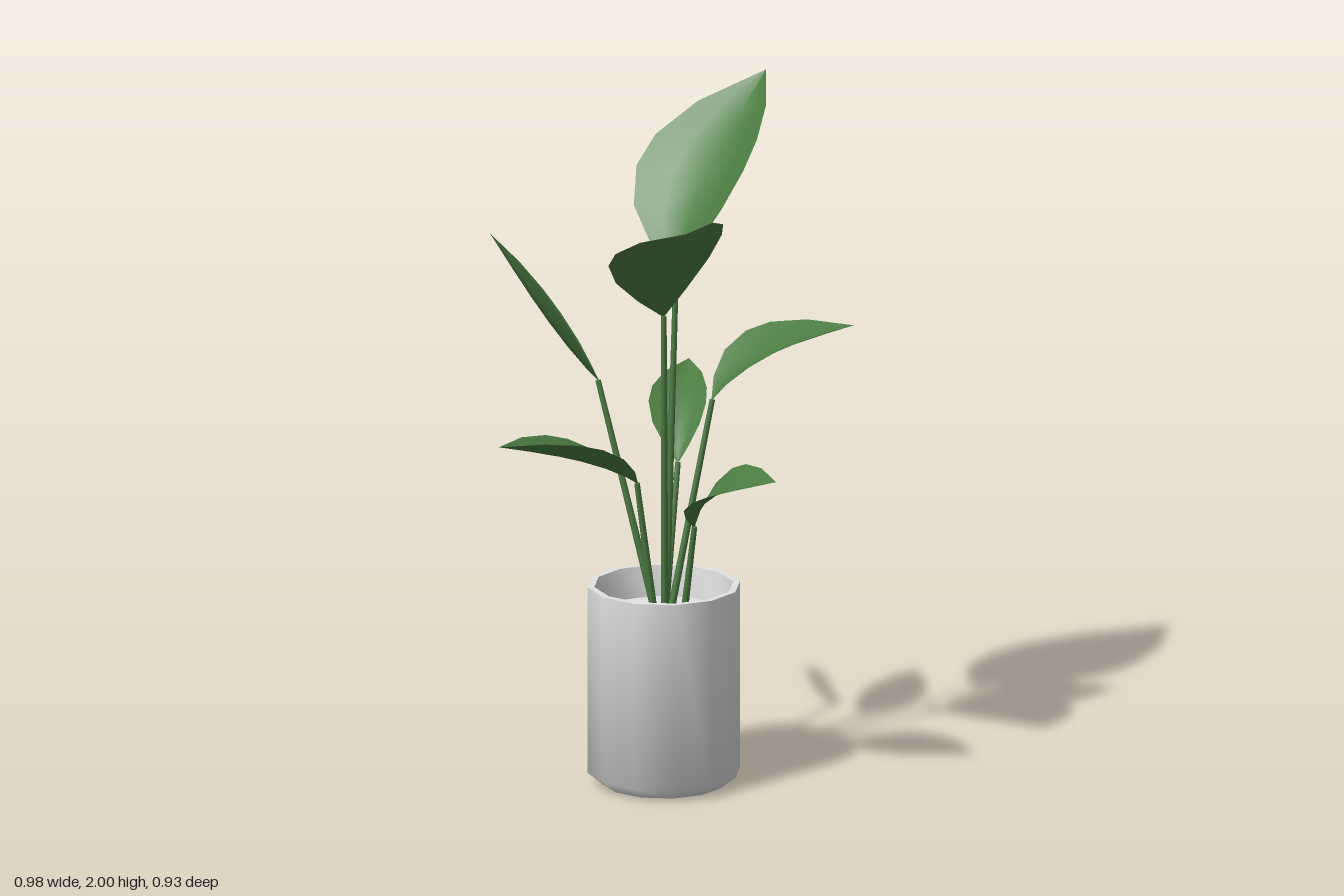
import * as THREE from 'three';
import { toCreasedNormals } from 'three/addons/utils/BufferGeometryUtils.js';

const V = (a) => new THREE.Vector3(...a);

// Leaf blade: cross-sections along an arched midrib, edges cupped upwards
function leafGeometry(base, tip, side, cup, bow) {
  const B = V(base), T = V(tip), S = V(side);
  const along = T.clone().sub(B);
  const N = new THREE.Vector3().crossVectors(S, along).normalize();
  if (N.y < 0) { N.negate(); S.negate(); }
  const sections = [[0, 0.04], [0.09, 0.42], [0.24, 0.82], [0.42, 1], [0.58, 0.95], [0.78, 0.64], [1, 0]];
  const across = [-1, -0.5, 0, 0.5, 1];
  const pos = [], index = [];
  for (const [t, w] of sections) {
    for (const u of across) {
      const lift = bow * Math.sin(Math.PI * Math.pow(t, 0.75)) + cup * w * Math.pow(Math.abs(u), 1.4);
      const p = B.clone().addScaledVector(along, t).addScaledVector(S, u * w).addScaledVector(N, lift);
      pos.push(p.x, p.y, p.z);
    }
  }
  const n = across.length;
  for (let i = 0; i < sections.length - 1; i++) {
    for (let j = 0; j < n - 1; j++) {
      const a = i * n + j, b = a + 1, c = a + n, d = c + 1;
      index.push(a, b, d, a, d, c);
    }
  }
  const g = new THREE.BufferGeometry();
  g.setAttribute('position', new THREE.Float32BufferAttribute(pos, 3));
  g.setIndex(index);
  g.computeVertexNormals();
  return g;
}

// Straight thin stalk between two points
function stemGeometry(from, to) {
  const a = V(from), b = V(to), dir = b.clone().sub(a);
  const g = new THREE.CylinderGeometry(0.008, 0.011, dir.length(), 6);
  g.applyQuaternion(new THREE.Quaternion().setFromUnitVectors(new THREE.Vector3(0, 1, 0), dir.normalize()));
  const m = a.add(b).multiplyScalar(0.5);
  return g.translate(m.x, m.y, m.z);
}

export function createModel() {
  const group = new THREE.Group();
  const potMat = new THREE.MeshStandardMaterial({ color: 0xe2e2e2 });
  potMat.name = 'potWhite';
  const leafMat = new THREE.MeshStandardMaterial({ color: 0x4c7c42, side: THREE.DoubleSide });
  leafMat.name = 'leafGreen';

  const add = (geometry, material, name, parent) => {
    const mesh = new THREE.Mesh(geometry, material);
    mesh.name = name;
    parent.add(mesh);
    return mesh;
  };

  // Twelve-sided pot with softened foot, thin rim and raised inner floor
  const profile = [[0, 0], [0.175, 0], [0.219, 0.035], [0.219, 0.585], [0.2, 0.585], [0.192, 0.495], [0, 0.495]]
    .map(([r, y]) => new THREE.Vector2(r, y));
  const pot = add(toCreasedNormals(new THREE.LatheGeometry(profile, 12), 1.1), potMat, 'pot', group);
  pot.position.set(0.05, 0, -0.006);

  // Each shoot: stem root, leaf base, leaf tip, half-width vector, cup, midrib bow
  const shoots = [
    ['tallBack', [0.05, 0.48, -0.02], [0.06, 1.49, -0.075], [0.18, 2.0, -0.465], [0.185, 0.025, 0.055], 0.075, 0.05],
    ['tallFront', [0.063, 0.48, 0.02], [0.09, 1.41, 0.095], [0.305, 1.775, 0.463], [0.148, 0.045, -0.065], 0.085, 0.015],
    ['right', [0.024, 0.48, -0.015], [-0.155, 1.165, -0.015], [-0.488, 1.563, -0.02], [0.046, 0.038, 0.125], 0.04, -0.015],
    ['lowFrontRight', [0.033, 0.48, 0.018], [0, 0.9, 0.075], [-0.285, 1.07, 0.423], [0.082, 0.01, 0.068], 0.05, 0.02],
    ['backLeft', [0.068, 0.48, 0], [0.163, 1.12, -0.095], [0.487, 1.3, -0.372], [0.08, 0, 0.09], 0.04, 0.05],
    ['lowFrontLeft', [0.1, 0.48, -0.03], [0.15, 0.77, 0.01], [0.465, 0.98, 0.175], [-0.025, -0.03, 0.09], 0.03, 0.05],
    ['lowBack', [0.042, 0.48, -0.033], [0.04, 0.91, -0.14], [-0.055, 1.12, -0.465], [0.086, 0.005, -0.005], 0.04, 0.03],
  ];
  for (const [name, root, base, tip, side, cup, bow] of shoots) {
    const shoot = new THREE.Group();
    shoot.name = name + 'Shoot';
    add(stemGeometry(root, base), leafMat, name + 'Stem', shoot);
    add(leafGeometry(base, tip, side, cup, bow), leafMat, name + 'Leaf', shoot);
    group.add(shoot);
  }
  return group;
}
